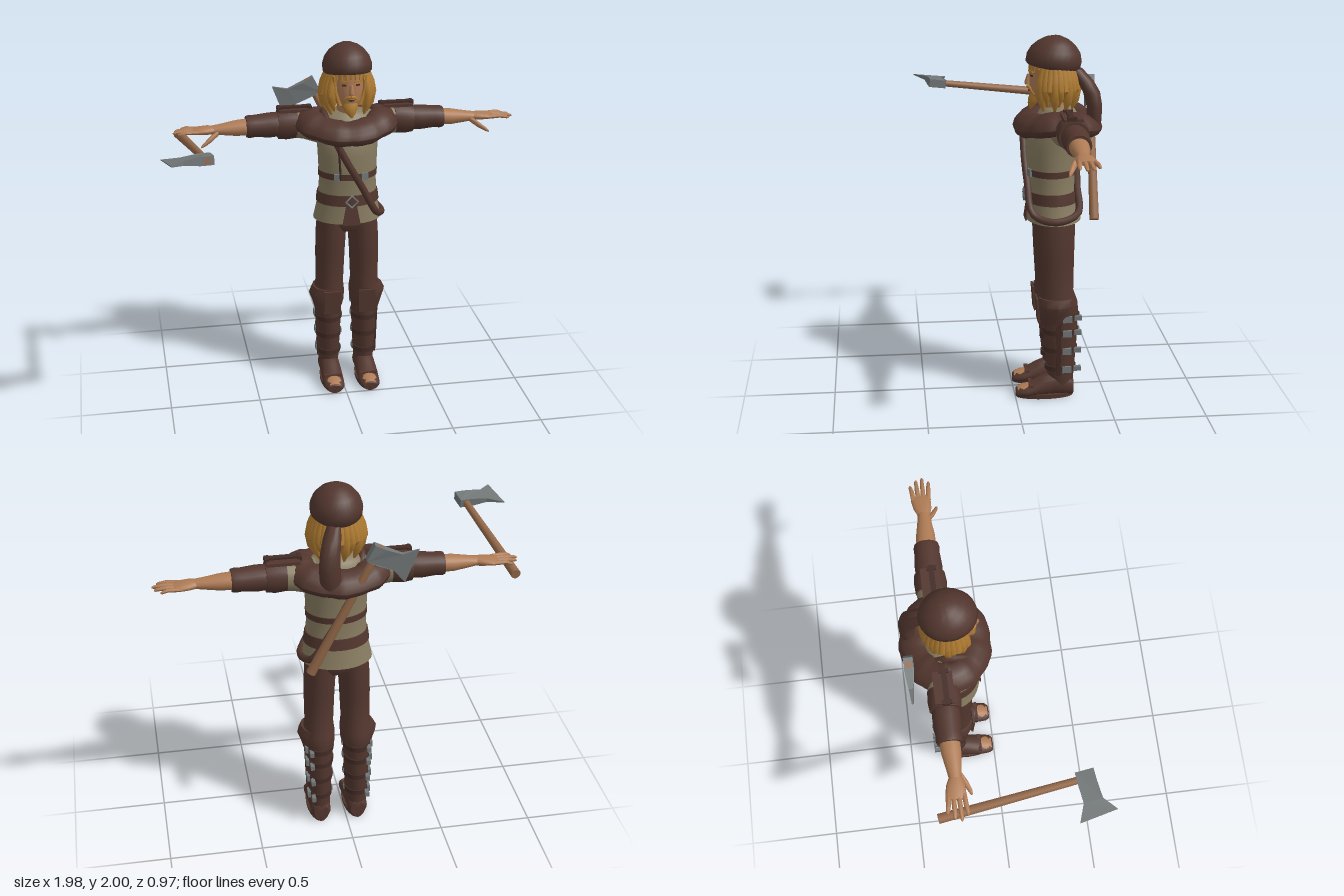
import * as THREE from 'three';
import { toCreasedNormals } from 'three/addons/utils/BufferGeometryUtils.js';

const mat = (name, color) => Object.assign(new THREE.MeshStandardMaterial({ color }), { name });
const CX = 0.04; // body centre line

export function createModel() {
  const leather = mat('brown leather', 0x52362e), cloth = mat('tan cloth', 0x877b60);
  const skin = mat('skin', 0xae7b55), hair = mat('golden hair', 0xae7a30);
  const metal = mat('grey steel', 0x717676), wood = mat('handle wood', 0x936849);
  const dark = mat('dark strap', 0x432b25);
  const root = new THREE.Group();

  const add = (name, geo, material, parent = root) => {
    const m = new THREE.Mesh(geo, material);
    m.name = name;
    parent.add(m);
    return m;
  };

  // Skin over elliptical sections along an axis: x [x, y, z, ry, rz], y [y, x, z, rx, rz], z [z, x, y, rx, ry]
  const loftGeo = (axis, sections, n = 20) => {
    const s = [...sections].sort((a, b) => a[0] - b[0]);
    const cap = (q) => [q[0], q[1], q[2], 0.0005, 0.0005];
    const rings = [cap(s[0]), ...s, cap(s[s.length - 1])], pos = [], idx = [];
    rings.forEach(([t, u, v, ru, rv], i) => {
      for (let j = 0; j < n; j++) {
        const a = j / n * Math.PI * 2, c = Math.cos(a), k = Math.sin(a);
        if (axis === 'x') pos.push(t, u + ru * k, v + rv * c);
        else if (axis === 'y') pos.push(u + ru * c, t, v + rv * k);
        else pos.push(u + ru * k, v + rv * c, t);
        if (i < rings.length - 1) {
          const p = i * n + j, q = i * n + (j + 1) % n;
          idx.push(p, p + n, q, q, p + n, q + n);
        }
      }
    });
    const g = new THREE.BufferGeometry();
    g.setAttribute('position', new THREE.Float32BufferAttribute(pos, 3));
    g.setIndex(idx);
    return toCreasedNormals(g, 0.8);
  };
  const loft = (name, axis, sections, material, n, parent) => add(name, loftGeo(axis, sections, n), material, parent);
  const box = (name, w, h, d, x, y, z, material, parent) => {
    const m = add(name, new THREE.BoxGeometry(w, h, d), material, parent);
    m.position.set(x, y, z);
    return m;
  };
  const tube = (name, pts, r, material, closed = false) => add(name, new THREE.TubeGeometry(
    new THREE.CatmullRomCurve3(pts.map((p) => new THREE.Vector3(...p)), closed), 48, r, 8, closed), material);

  // Tunic, hem panel and belts
  loft('tunic', 'y', [[1.01, CX, -.215, .19, .15], [1.08, CX, -.21, .175, .14], [1.15, CX, -.205, .162, .132],
    [1.25, CX, -.2, .158, .13], [1.4, CX, -.2, .165, .137], [1.5, CX, -.21, .17, .135], [1.57, CX, -.235, .17, .115],
    [1.61, CX, -.235, .13, .09], [1.63, CX, -.23, .06, .06]], cloth, 32);
  const flap = new THREE.Shape([[-.05, 0], [.05, 0], [.03, .11], [-.03, .11]].map((p) => new THREE.Vector2(...p)));
  const panel = add('hemPanel', new THREE.ExtrudeGeometry(flap, { depth: .009, bevelEnabled: false }), leather);
  panel.position.set(CX, 1.005, -.068);
  panel.rotation.x = -.12;
  loft('waistBelt', 'y', [[1.115, CX, -.206, .176, .144], [1.15, CX, -.205, .172, .14], [1.175, CX, -.204, .168, .137]], leather, 32);
  loft('chestStrap', 'y', [[1.265, CX, -.2, .163, .135], [1.3, CX, -.2, .164, .137]], leather, 32);
  const ring = add('beltBuckle', new THREE.TorusGeometry(.034, .007, 6, 4), metal);
  ring.position.set(CX, 1.145, -.057);
  for (const x of [-.035, .115]) {
    const b = box('chestBuckle', .04, .04, .012, x, 1.283, -.077, metal);
    b.rotation.y = (x - CX) * 4;
  }
  tube('shoulderSash', [[-.06, 1.52, -.07], [0, 1.4, -.058], [.1, 1.22, -.068], [.18, 1.07, -.09], [.232, 1.035, -.2],
    [.19, 1.07, -.33], [.1, 1.2, -.335], [.02, 1.35, -.34], [-.06, 1.52, -.34], [-.09, 1.62, -.22]], .02, leather, true);
  tube('frontCord', [[-.04, 1.53, -.035], [-.03, 1.4, -.05], [-.02, 1.27, -.065]], .006, dark);

  // Thick rolled cowl, highest over the shoulders
  const cowl = new THREE.TorusGeometry(1, .5, 14, 56), cp = cowl.attributes.position;
  for (let i = 0; i < cp.count; i++) {
    const x = cp.getX(i), y = cp.getY(i), a = Math.atan2(y, x), r = Math.hypot(x, y) - 1;
    const fold = 1 + .05 * Math.sin(a * 9) + .03 * Math.sin(a * 17 + 1);
    const side = Math.cos(a) ** 2, w = r * .155 * fold;
    cp.setXYZ(i, Math.cos(a) * (.212 + w), 1.53 + .045 * side - r * .04 + cp.getZ(i) * .115 * fold, -Math.sin(a) * (.158 + w));
  }
  // orientation follows the swap of axes (x, y, z) -> (x, z, -y)
  cowl.computeVertexNormals();
  add('cowl', cowl, leather).position.set(.035, 0, -.235);

  // Head and face
  loft('neck', 'y', [[1.56, CX, -.23, .06, .06], [1.7, CX, -.2, .055, .06]], skin);
  loft('head', 'y', [[1.655, CX, -.135, .025, .025], [1.675, CX, -.155, .055, .065], [1.71, CX, -.175, .075, .09],
    [1.76, CX, -.19, .088, .11], [1.82, CX, -.2, .094, .118], [1.88, CX, -.2, .095, .115]], skin, 24);
  loft('nose', 'y', [[1.745, CX, -.076, .017, .016], [1.755, CX, -.073, .016, .017], [1.8, CX, -.083, .008, .012]], skin, 10);
  loft('mouth', 'z', [[-.085, CX, 1.713, .018, .005], [-.078, CX, 1.713, .015, .004]], dark, 10);
  loft('beard', 'y', [[1.615, CX + .005, -.09, .006, .006], [1.645, CX, -.1, .03, .025], [1.675, CX, -.11, .042, .032],
    [1.7, CX, -.118, .042, .03]], hair, 12);
  for (const s of [-1, 1]) {
    box('eye', .022, .009, .008, CX + s * .036, 1.797, -.092, dark).rotation.y = s * .35;
    box('eyebrow', .04, .009, .014, CX + s * .036, 1.817, -.091, hair).rotation.set(0, s * .35, s * .08);
    const m = loft('moustache', 'x', [[CX + s * .002, 1.733, -.077, .008, .01], [CX + s * .025, 1.728, -.087, .009, .011],
      [CX + s * .046, 1.7, -.107, .005, .008]], hair, 10);
    loft('sideburn', 'y', [[1.68, CX + s * .055, -.13, .016, .022], [1.76, CX + s * .08, -.14, .013, .025],
      [1.84, CX + s * .085, -.14, .012, .025]], hair, 10);
  }

  // Long hair locks around sides and back, with two rows of differing length
  for (let i = 0; i < 23; i++) {
    const a = Math.PI * (.27 + 1.46 * i / 22), c = Math.sin(a), k = Math.cos(a);
    const low = 1.615 + .025 * (i % 3), at = (y, r, t) => [y, CX + c * r, -.215 + k * r * .9, t, t];
    loft('hairLock', 'y', [at(low, .108, .005), at(low + .05, .126, .022), at(1.73, .134, .027),
      at(1.79, .124, .026), at(1.86, .098, .022)], hair, 9);
  }
  for (let i = -3; i <= 3; i++) {
    loft('fringe', 'y', [[1.83 - .006 * Math.abs(i), CX + i * .025, -.085 - .004 * i * i, .006, .008],
      [1.865, CX + i * .022, -.095 - .004 * i * i, .017, .015]], hair, 8);
  }

  // Cap with a hanging tail
  const cap = loft('cap', 'y', [[0, 0, 0, .122, .136], [.012, 0, 0, .132, .146], [.05, 0, -.002, .134, .147],
    [.09, 0, -.004, .121, .132], [.125, 0, -.005, .095, .1], [.15, 0, -.005, .06, .063], [.164, 0, -.005, .02, .02]], leather, 28);
  cap.position.set(CX, 1.838, -.205);
  cap.rotation.x = -.15;
  loft('capTail', 'y', [[1.5, .1, -.415, .045, .035], [1.56, .105, -.42, .055, .04], [1.64, .11, -.42, .055, .042],
    [1.71, .105, -.405, .052, .045], [1.77, .09, -.37, .047, .046], [1.83, .07, -.32, .035, .04]], leather, 16);

  // Arms
  for (const s of [-1, 1]) {
    const X = (d) => CX + s * d, arm = new THREE.Group();
    arm.name = s > 0 ? 'leftArm' : 'rightArm';
    root.add(arm);
    const part = (name, sec, m, n) => loft(name, 'x', sec.map(([d, ...q]) => [X(d), ...q]), m, n, arm);
    part('sleeve', [[.08, 1.51, -.24, .1, .09], [.17, 1.53, -.26, .092, .088], [.24, 1.54, -.27, .08, .08],
      [.32, 1.545, -.273, .075, .075]], cloth);
    part('upperCuff', [[.27, 1.55, -.273, .085, .082], [.33, 1.547, -.273, .088, .085], [.375, 1.545, -.273, .08, .08]], leather);
    part('lowerCuff', [[.37, 1.545, -.273, .066, .07], [.42, 1.543, -.273, .068, .072], [.5, 1.542, -.273, .06, .066],
      [.53, 1.54, -.272, .062, .068], [.548, 1.54, -.272, .058, .063]], leather);
    box('shoulderPad', .17, .016, .1, X(.285), 1.628, -.27, leather, arm);
    box('shoulderStrap', .19, .014, .028, X(.285), 1.64, -.262, dark, arm);
    for (const d of [.2, .365]) box('strapStud', .022, .02, .05, X(d), 1.638, -.262, dark, arm);
    part('forearm', [[.53, 1.54, -.272, .045, .052], [.6, 1.537, -.27, .043, .05], [.68, 1.535, -.267, .031, .038],
      [.73, 1.535, -.265, .024, .032]], skin);
    part('palm', [[.72, 1.535, -.265, .023, .032], [.76, 1.535, -.268, .023, .047], [.81, 1.533, -.272, .018, .052],
      [.835, 1.533, -.272, .012, .047]], skin);
    [.92, .945, .935, .905].forEach((end, i) => {
      const z = -.232 - i * .026, e = -.222 - i * .033;
      part('finger', [[.81, 1.533, z, .012, .013], [.87, 1.537, (z + e) / 2, .011, .012], [end - .01, 1.53, e, .009, .009],
        [end, 1.528, e, .004, .004]], skin, 8);
    });
    part('thumb', [[.7, 1.525, -.245, .016, .016], [.74, 1.5, -.22, .018, .016], [.78, 1.475, -.2, .012, .012],
      [.8, 1.463, -.193, .005, .006]], skin, 10);
  }

  // Trousers, knee guards and boots
  loft('hips', 'y', [[.94, CX, -.22, .13, .085], [.98, CX, -.22, .165, .108], [1.06, CX, -.215, .16, .11]], leather, 28);
  for (const s of [-1, 1]) {
    const X = (d) => CX + s * d, leg = new THREE.Group();
    leg.name = s > 0 ? 'leftLeg' : 'rightLeg';
    root.add(leg);
    const part = (name, sec, m, n) => loft(name, 'y', sec.map(([y, d, ...q]) => [y, X(d), ...q]), m, n, leg);
    part('trouserLeg', [[.46, .103, -.24, .075, .1], [.5, .103, -.235, .085, .112], [.56, .103, -.232, .088, .108],
      [.62, .1, -.225, .078, .093], [.8, .097, -.22, .083, .1], [.95, .09, -.218, .085, .106], [1.03, .085, -.218, .08, .104]], leather);
    part('kneeGuard', [[.44, .107, -.225, .076, .095], [.5, .115, -.222, .085, .102], [.55, .121, -.222, .098, .102],
      [.59, .112, -.222, .087, .1]], leather, 10);
    box('kneePlate', .095, .14, .012, X(.1), .515, -.122, leather, leg).rotation.x = .08;
    part('bootShaft', [[.06, .103, -.255, .056, .065], [.13, .103, -.252, .058, .073], [.2, .103, -.25, .062, .08],
      [.3, .103, -.248, .068, .09], [.4, .103, -.247, .07, .094], [.48, .103, -.245, .072, .096]], leather);
    for (const y of [.175, .285, .39, .475]) {
      const r = .061 + (y - .175) * .035, rz = .079 + (y - .175) * .06;
      part('bootStrap', [[y - .014, .103, -.25, r + .007, rz + .007], [y + .014, .103, -.25, r + .007, rz + .007]], dark);
      box('bootBuckle', .016, .036, .05, X(.103 + r + .003), y, -.278, metal, leg);
      box('strapEnd', .022, .026, .04, X(.103 + r * .75), y, -.338, metal, leg);
      box('innerBuckle', .012, .026, .03, X(.103 - r - .004), y, -.25, metal, leg);
    }
    box('sideStrap', .012, .34, .024, X(.171), .31, -.232, dark, leg).rotation.z = -s * .04;
    loft('foot', 'z', [[-.322, X(.103), .055, .04, .05], [-.3, X(.103), .065, .055, .063], [-.22, X(.103), .075, .058, .073],
      [-.14, X(.103), .058, .06, .057], [-.07, X(.103), .036, .061, .036], [-.025, X(.103), .03, .055, .03],
      [-.005, X(.103), .024, .04, .022]], leather, 20, leg);
    part('sole', [[0, .103, -.163, .06, .16], [.025, .103, -.163, .062, .162]], leather, 24);
    loft('toes', 'z', [[-.085, X(.103), .05, .045, .026], [-.045, X(.103), .045, .046, .026], [-.012, X(.103), .037, .035, .018]],
      skin, 14, leg);
    box('toeStrap', .105, .014, .02, X(.103), .073, -.085, leather, leg);
  }

  // Axe: handle along +y, blade toward +x with a thin cutting edge
  const axe = (name, from, to, bladeDir) => {
    const a = new THREE.Vector3(...from), dir = new THREE.Vector3(...to).sub(a), L = dir.length();
    const y = dir.normalize(), z = new THREE.Vector3(...bladeDir).cross(y).normalize();
    const x = new THREE.Vector3().crossVectors(y, z), g = new THREE.Group();
    g.name = name;
    g.setRotationFromMatrix(new THREE.Matrix4().makeBasis(x, y, z));
    g.position.copy(a);
    root.add(g);
    add('axeHandle', new THREE.CylinderGeometry(.018, .026, L, 12), wood, g).position.y = L / 2;
    const outline = [[-.035, -.095], [.035, -.095], [.12, -.092], [.21, -.135], [.19, .06], [.12, .005], [.035, 0], [-.035, 0]];
    const shape = new THREE.Shape(outline.map((p) => new THREE.Vector2(p[0], p[1] + L)));
    const head = new THREE.ExtrudeGeometry(shape, { depth: 1, bevelEnabled: false }), p = head.attributes.position;
    for (let i = 0; i < p.count; i++) {
      const t = p.getX(i) < .04 ? .023 : Math.max(.002, .023 - (p.getX(i) - .035) * .13);
      p.setZ(i, (p.getZ(i) - .5) * 2 * t);
    }
    head.computeVertexNormals();
    add('axeHead', head, metal, g);
  };
  axe('handAxe', [-.87, 1.49, -.37], [-.775, 1.595, .415], [-1, 0, .1]);
  axe('backAxe', [.21, 1.04, -.415], [-.145, 1.745, -.43], [-1, -.5, 0]);

  return root;
}
